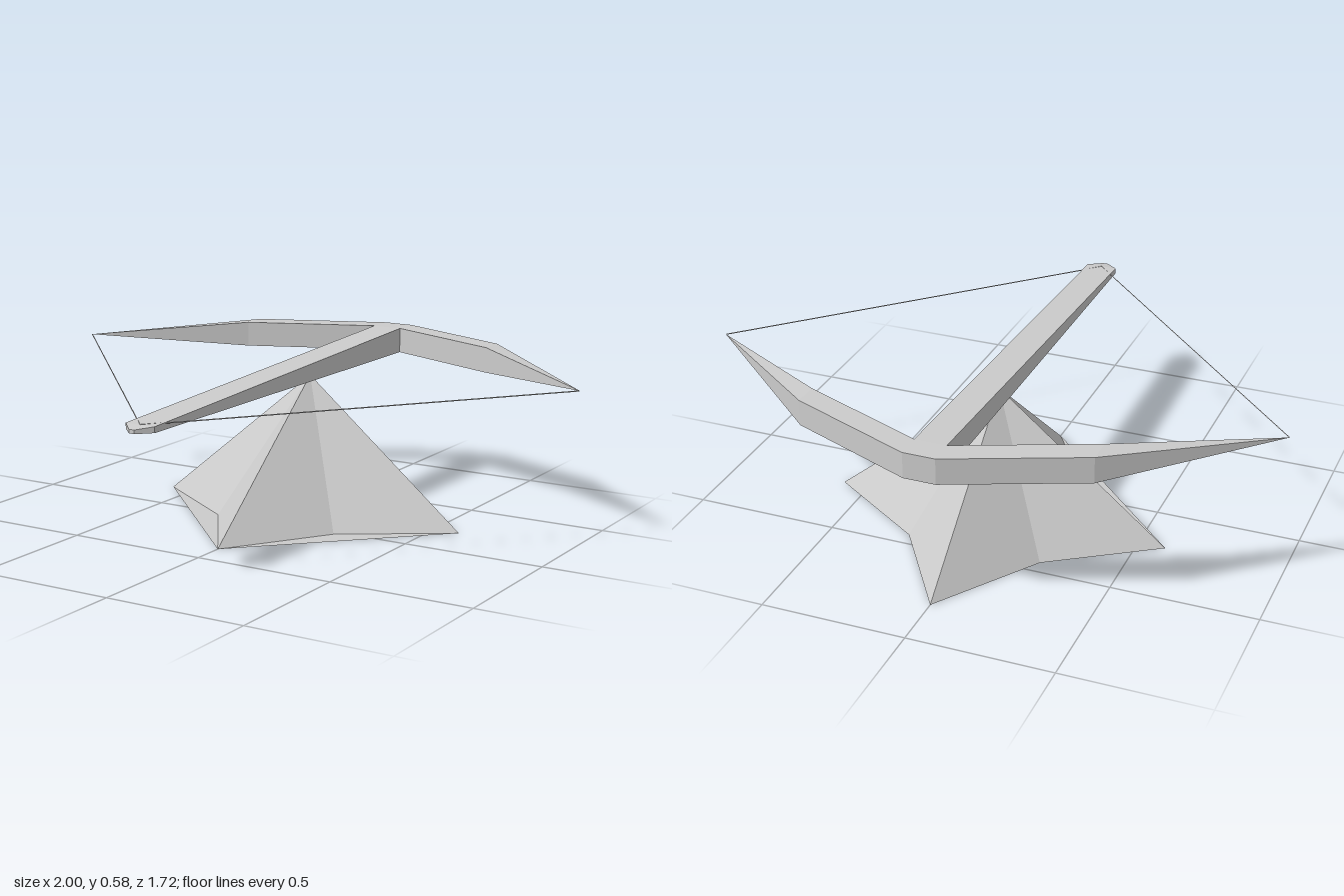
import * as THREE from 'three';

const material = new THREE.MeshStandardMaterial({ color: 0xcccccc, flatShading: true, side: THREE.DoubleSide });

function addMesh(group, name, geometry) {
  const mesh = new THREE.Mesh(geometry, material);
  mesh.name = name;
  group.add(mesh);
  return mesh;
}

// Skin a row of equal-sized rings (each a list of [x, y, z]) and cap both ends.
function loft(rings) {
  const n = rings[0].length;
  const positions = [];
  const tri = (a, b, c) => positions.push(...a, ...b, ...c);
  for (let r = 0; r < rings.length - 1; r++) {
    for (let i = 0; i < n; i++) {
      const j = (i + 1) % n;
      const [a, b, c, d] = [rings[r][i], rings[r][j], rings[r + 1][j], rings[r + 1][i]];
      tri(a, b, c);
      tri(a, c, d);
    }
  }
  const first = rings[0], last = rings[rings.length - 1];
  for (let i = 1; i < n - 1; i++) {
    tri(first[0], first[i + 1], first[i]);
    tri(last[0], last[i], last[i + 1]);
  }
  const geometry = new THREE.BufferGeometry();
  geometry.setAttribute('position', new THREE.Float32BufferAttribute(positions, 3));
  geometry.computeVertexNormals();
  return geometry;
}

export function createModel() {
  const group = new THREE.Group();
  const bottom = 0.487, top = 0.577;

  // Four-pointed star pyramid under the stock
  const star = [], apex = [];
  for (let i = 0; i < 8; i++) {
    const radius = i % 2 ? 0.335 : 0.595;
    const angle = (i * Math.PI) / 4;
    star.push([radius * Math.sin(angle), 0, -0.21 + radius * Math.cos(angle)]);
    apex.push([0, 0.49, -0.21]);
  }
  addMesh(group, 'base', loft([star, apex]));

  // Stock: a long wedge, flat below, thinning toward a bevelled nose
  const section = (z, halfWidth, yTop, yBottom = bottom) => [
    [-halfWidth, yBottom, z], [halfWidth, yBottom, z], [halfWidth, yTop, z], [-halfWidth, yTop, z],
  ];
  addMesh(group, 'stock', loft([
    section(-0.86, 0.055, top),
    section(-0.77, 0.055, top),
    section(0.81, 0.055, 0.507),
    section(0.855, 0.01, 0.5),
  ]));

  for (const side of [1, -1]) {
    const label = side > 0 ? 'left' : 'right';

    // Bow limb: two angled segments ending in a point
    const limbRing = (x, outer, inner, y0, y1) => {
      const ring = [[x * side, y0, inner], [x * side, y0, outer], [x * side, y1, outer], [x * side, y1, inner]];
      return side > 0 ? ring : ring.reverse();
    };
    addMesh(group, label + 'Limb', loft([
      limbRing(0.055, -0.86, -0.77, bottom, top),
      limbRing(0.5, -0.675, -0.585, bottom, top),
      limbRing(1, -0.26, -0.26, 0.533, 0.533),
    ]));

    // Taut string from limb tip to the nose
    const string = new THREE.LineCurve3(
      new THREE.Vector3(side * 0.997, 0.533, -0.26),
      new THREE.Vector3(0, 0.506, 0.81),
    );
    addMesh(group, label + 'String', new THREE.TubeGeometry(string, 1, 0.002, 4));
  }

  return group;
}
